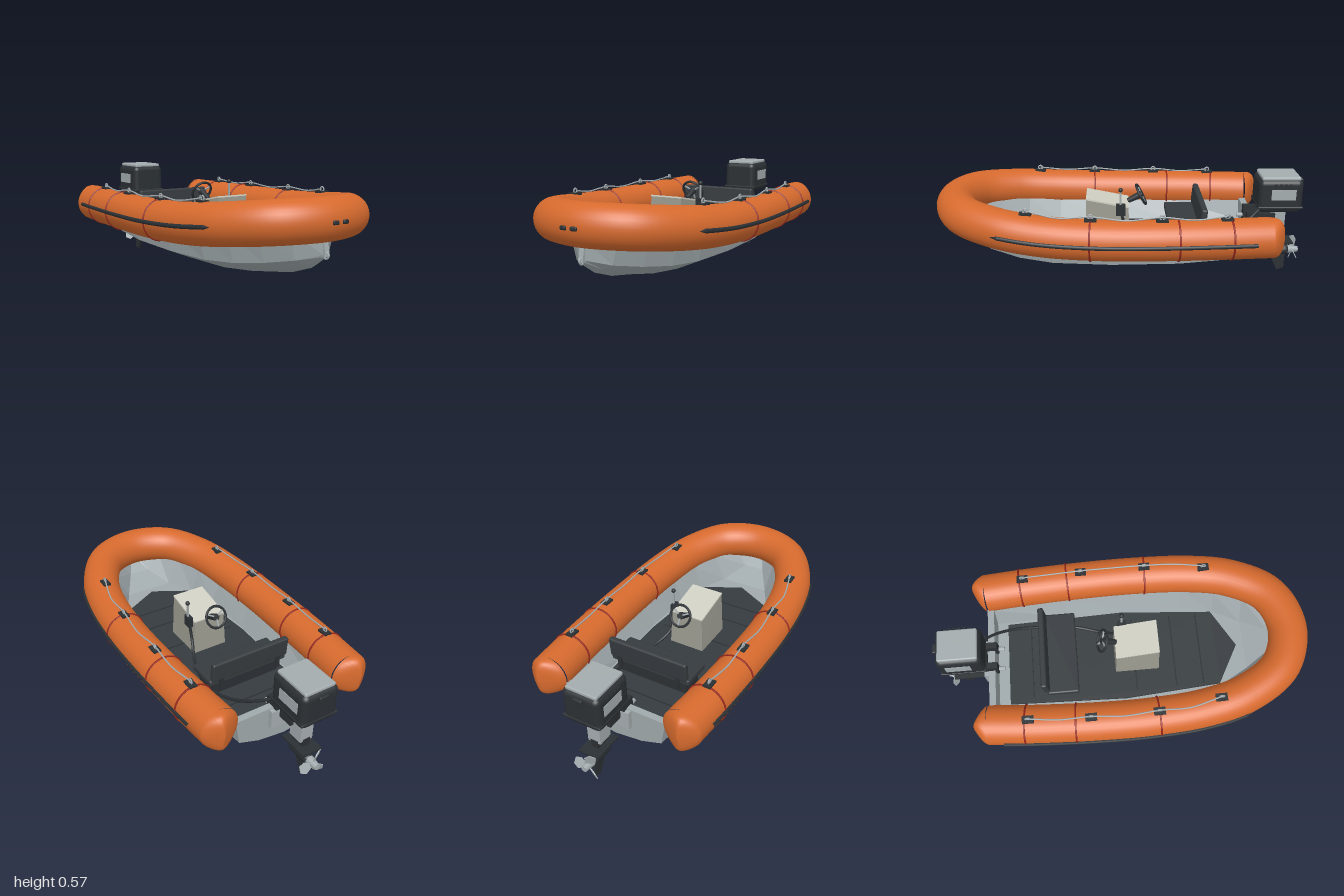
import * as THREE from 'three';
import { RoundedBoxGeometry } from 'three/addons/geometries/RoundedBoxGeometry.js';

const V = (x, y, z) => new THREE.Vector3(x, y, z);
const paint = (color, extra = {}) => new THREE.MeshStandardMaterial({ color, ...extra });

export function createModel() {
  const boat = new THREE.Group();
  boat.name = 'inflatableBoat';
  const orange = paint(0xd66a2e), red = paint(0x96281e), dark = paint(0x2b3034), mat = paint(0x363b3f);
  const hullGrey = paint(0x9fa8ab, { flatShading: true, side: THREE.DoubleSide });
  const grey = paint(0xa3abae), cream = paint(0xcfcfc2), stone = paint(0x9c9b90, { flatShading: true });

  const add = (name, geo, material, x = 0, y = 0, z = 0, parent = boat) => {
    const m = new THREE.Mesh(geo, material);
    m.name = name;
    m.position.set(x, y, z);
    parent.add(m);
    return m;
  };
  const box = (name, w, h, d, material, x, y, z) => add(name, new THREE.BoxGeometry(w, h, d), material, x, y, z);
  const pipe = (name, pts, r, material, seg = 32) =>
    add(name, new THREE.TubeGeometry(new THREE.CatmullRomCurve3(pts), seg, r, 8), material);
  // Rings run counterclockwise seen from +z, listed from stern to bow
  const loft = (rings) => {
    const n = rings[0].length, idx = [];
    for (let i = 0; i < rings.length - 1; i++) for (let j = 0; j < n; j++) {
      const a = i * n + j, b = i * n + (j + 1) % n;
      idx.push(a, b, b + n, a, b + n, a + n);
    }
    const g = new THREE.BufferGeometry().setFromPoints(rings.flat());
    g.setIndex(idx);
    g.computeVertexNormals();
    return g;
  };
  const extrude = (pts, depth) => new THREE.ExtrudeGeometry(
    new THREE.Shape(pts.map(p => new THREE.Vector2(...p))), { depth, bevelEnabled: false });

  // Inflatable collar: one U-shaped tube with wedge-shaped tail ends
  const R = 0.1025;
  const half = [[.378, .353, -.735], [.396, .353, -.5], [.411, .353, -.15], [.411, .356, .12],
    [.39, .369, .4], [.335, .39, .62], [.205, .412, .815]];
  const path = new THREE.CatmullRomCurve3([
    ...half.map(p => V(...p)), V(0, .418, .884),
    ...half.slice().reverse().map(p => V(-p[0], p[1], p[2]))]);
  add('collarTube', new THREE.TubeGeometry(path, 120, R, 32), orange);
  const tubeAt = (z) => {
    let a = 0, b = .5;
    for (let i = 0; i < 30; i++) {
      const m = (a + b) / 2;
      if (path.getPoint(m).z < z) a = m; else b = m;
    }
    return { p: path.getPoint(a), t: path.getTangent(a) };
  };

  const tail = loft(Array.from({ length: 11 }, (_, i) => {
    const t = 1 - i / 10;
    return Array.from({ length: 32 }, (_, j) => {
      const a = j / 32 * Math.PI * 2;
      return V(R * (1 - t ** 1.6) * Math.cos(a) + .015 * t, R * Math.sqrt(1 - t ** 4) * Math.sin(a), -.077 * t);
    });
  }));
  const tailMirror = tail.clone().rotateY(0);
  const tp = tailMirror.attributes.position;
  for (let i = 0; i < tp.count; i++) tp.setX(i, tp.getX(i) - 2 * .015 * (-tp.getZ(i) / .077));
  tailMirror.computeVertexNormals();
  add('tubeEndLeft', tail, orange, .378, .353, -.735);
  add('tubeEndRight', tailMirror, orange, -.378, .353, -.735);

  for (const s of [1, -1]) {
    const side = s > 0 ? 'Left' : 'Right';
    // Red straps around the collar
    for (const z of [-.54, -.28, .15]) {
      const { p, t } = tubeAt(z);
      const ring = add('strap' + side, new THREE.TorusGeometry(R + .001, .005, 6, 40), red, s * p.x, p.y, p.z);
      ring.rotation.y = s * Math.atan2(t.x, t.z);
    }
    // Rub rail along the outside
    const rail = [];
    for (let i = 0; i <= 16; i++) {
      const { p, t } = tubeAt(-.65 + i * .0763);
      const o = (R + .001) / Math.hypot(t.x, t.z);
      rail.push(V(s * (p.x + t.z * o), p.y + .002 - i * .0002, p.z - t.x * o));
    }
    pipe('rubRail' + side, rail, .0105, dark, 48);
    const [tipA, tipB] = [rail[15], rail[16]];
    const tip = add('rubRailTip' + side, new THREE.ConeGeometry(.0105, .04, 8), dark);
    const dir = tipB.clone().sub(tipA).normalize();
    tip.position.copy(tipB).addScaledVector(dir, .018);
    tip.quaternion.setFromUnitVectors(V(0, 1, 0), dir);
    // Rope pads with eyes, and the grab line between them
    const rope = [];
    const stops = [-.52, -.2, .15, .47];
    stops.forEach((z, i) => {
      const { p } = tubeAt(z);
      const x = s * (p.x - (i === 3 ? .008 : 0));
      box('ropePad' + side, .04, .014, .06, dark, x, p.y + R + .001, z);
      const eye = add('ropeEye' + side, new THREE.TorusGeometry(.012, .004, 6, 14), grey, x, p.y + R + .017, z);
      eye.rotation.y = Math.PI / 2;
      rope.push(V(x, p.y + R + .018, z));
      if (i < 3) {
        const m = tubeAt((z + stops[i + 1]) / 2).p;
        rope.push(V(s * (m.x + .006), m.y + R + .004, m.z));
      }
    });
    pipe('grabLine' + side, rope, .004, grey, 60);
    // Bow fittings
    const bow = add('bowFitting' + side, new RoundedBoxGeometry(.034, .02, .022, 2, .007), dark, s * .028, .417, .982);
    bow.rotation.y = s * .12;
    // Motor clamps on the transom
    box('motorClamp' + side, .035, .09, .075, dark, s * .057, .325, -.72);
    box('clampArm' + side, .02, .07, .1, dark, s * .045, .32, -.79);
    const screw = add('clampScrew' + side, new THREE.CylinderGeometry(.012, .012, .04, 8), grey, s * .057, .31, -.67);
    screw.rotation.x = Math.PI / 2;
  }

  // Faceted hull: z, keel y, bilge x y, chine x y, gunwale x y, floor x y
  const stations = [
    [-.725, .135, .15, .155, .262, .195, .285, .32, .25, .2],
    [-.3, .1, .175, .125, .3, .175, .32, .31, .265, .2],
    [.05, .097, .18, .122, .305, .172, .325, .31, .272, .2],
    [.35, .1, .165, .122, .285, .175, .315, .32, .26, .2],
    [.53, .113, .135, .135, .24, .185, .275, .335, .222, .2],
    [.68, .14, .095, .165, .175, .205, .22, .36, .14, .21],
    [.81, .185, .05, .205, .1, .23, .14, .375, .06, .27],
    [.895, .245, .006, .25, .012, .26, .018, .35, .008, .345]];
  add('hull', loft(stations.map(([z, k, bx, by, cx, cy, gx, gy, fx, fy]) => {
    const r = [[bx, by], [cx, cy], [gx, gy], [fx, fy]];
    return [V(0, k, z), ...r.map(p => V(p[0], p[1], z)), ...r.reverse().map(p => V(-p[0], p[1], z))];
  })), hullGrey);
  add('transom', extrude([[0, .135], [.15, .155], [.262, .195], [.285, .33], [-.285, .33], [-.262, .195], [-.15, .155]], .035),
    hullGrey, 0, 0, -.735);
  box('transomPad', .2, .1, .03, grey, 0, .275, -.745);
  box('stemStrip', .026, .07, .02, grey, 0, .285, .895).rotation.x = -.2;
  add('bowEye', new THREE.TorusGeometry(.016, .005, 8, 18), grey, 0, .258, .9).rotation.y = Math.PI / 2;

  // Floor mat with cross grooves
  const floor = add('floorMat', extrude([[-.235, .64], [-.255, 0], [-.215, -.52], [0, -.64], [.215, -.52], [.255, 0], [.235, .64]], .012), mat, 0, .2, 0);
  floor.rotation.x = -Math.PI / 2;
  for (const z of [-.51, -.27, .06, .28, .43]) box('floorGroove', .42, .003, .006, dark, 0, .213, z);

  // Bench with backrest
  box('benchBase', .4, .09, .12, dark, 0, .25, -.335);
  add('benchSeat', new RoundedBoxGeometry(.46, .035, .17, 2, .01), mat, 0, .31, -.34);
  add('benchBackrest', new RoundedBoxGeometry(.45, .11, .032, 2, .01), mat, 0, .385, -.43).rotation.x = -.08;
  for (const x of [-.17, .17]) box('backrestPost', .02, .12, .015, dark, x, .33, -.435);

  // Console, wider at the foot with a top sloping down to the wheel
  const body = new THREE.BoxGeometry(.2, .24, .24);
  const bp = body.attributes.position;
  for (let i = 0; i < bp.count; i++) if (bp.getY(i) > 0) {
    bp.setX(i, bp.getX(i) * .9);
    bp.setY(i, bp.getZ(i) > 0 ? .12 : .075);
    bp.setZ(i, bp.getZ(i) * .94);
  }
  body.computeVertexNormals();
  add('console', body, stone, 0, .33, .07);
  box('consoleTop', .184, .008, .234, cream, 0, .431, .07).rotation.x = -.197;

  // Steering wheel and throttle
  const wheel = new THREE.Group();
  wheel.name = 'steeringWheel';
  wheel.position.set(0, .452, -.112);
  wheel.rotation.x = .48;
  boat.add(wheel);
  add('wheelRim', new THREE.TorusGeometry(.058, .007, 8, 32), dark, 0, 0, 0, wheel);
  for (let i = 0; i < 3; i++) {
    const spoke = add('wheelSpoke', new THREE.BoxGeometry(.008, .056, .006).translate(0, .028, 0), grey, 0, 0, 0, wheel);
    spoke.rotation.z = i * Math.PI * 2 / 3 + Math.PI;
  }
  add('wheelHub', new THREE.CylinderGeometry(.014, .014, .016, 12).rotateX(Math.PI / 2), dark, 0, 0, 0, wheel);
  add('wheelColumn', new THREE.CylinderGeometry(.014, .02, .08, 12).rotateX(Math.PI / 2), dark, 0, 0, .04, wheel);
  box('throttleBox', .025, .06, .05, dark, .103, .4, 0);
  box('throttleLever', .008, .09, .01, grey, .108, .465, 0);
  add('throttleKnob', new THREE.SphereGeometry(.012, 12, 8), dark, .108, .512, 0);
  pipe('controlCable', [V(.08, .4, -.75), V(.125, .36, -.69), V(.17, .3, -.58), V(.19, .24, -.42),
    V(.18, .225, -.25), V(.14, .23, -.12), V(.105, .28, -.04), V(.1, .39, 0)], .008, dark);

  // Outboard motor: cowling
  add('motorCowling', new RoundedBoxGeometry(.2, .185, .235, 4, .03), dark, 0, .466, -.853);
  add('cowlingLid', new RoundedBoxGeometry(.168, .022, .205, 2, .008), grey, 0, .56, -.853);
  add('cowlingBelt', new RoundedBoxGeometry(.206, .014, .24, 2, .005), dark, 0, .405, -.853);
  for (const s of [1, -1]) {
    box('cowlingPanel', .006, .058, .13, grey, s * .1, .478, -.865);
    for (let i = 0; i < 4; i++) box('cowlingVent', .012, .014, .014, dark, s * .1, .53, -.82 - i * .026);
  }
  add('cowlingLatch', new RoundedBoxGeometry(.05, .03, .025, 2, .006), dark, 0, .53, -.972);

  // Outboard motor: leg, plate, gearcase, skeg and propeller
  box('motorLeg', .07, .17, .08, grey, 0, .302, -.86);
  box('swivelBracket', .07, .06, .1, dark, 0, .32, -.79);
  box('lowerLeg', .04, .12, .075, dark, 0, .17, -.865);
  box('ventilationPlate', .11, .009, .165, dark, 0, .181, -.87);
  const gear = add('gearcase', new THREE.CapsuleGeometry(.03, .09, 6, 14), dark, 0, .124, -.875);
  gear.rotation.x = Math.PI / 2;
  const skeg = add('skeg', extrude([[.83, .11], [.925, .11], [.925, .012], [.888, 0]], .014), dark, -.007, 0, 0);
  skeg.rotation.y = Math.PI / 2;
  add('propellerHub', new THREE.CylinderGeometry(.024, .016, .06, 14).rotateX(Math.PI / 2), grey, 0, .124, -.965);
  for (let i = 0; i < 3; i++) {
    const arm = new THREE.Group();
    arm.name = 'propellerBlade';
    arm.position.set(0, .124, -.967);
    arm.rotation.z = THREE.MathUtils.degToRad(145 + i * 120);
    boat.add(arm);
    const blade = add('blade', extrude([[-.01, .012], [.012, .012], [.03, .05], [.014, .078], [-.018, .074], [-.026, .045]], .005), grey, 0, 0, 0, arm);
    blade.rotation.y = .5;
  }
  return boat;
}
